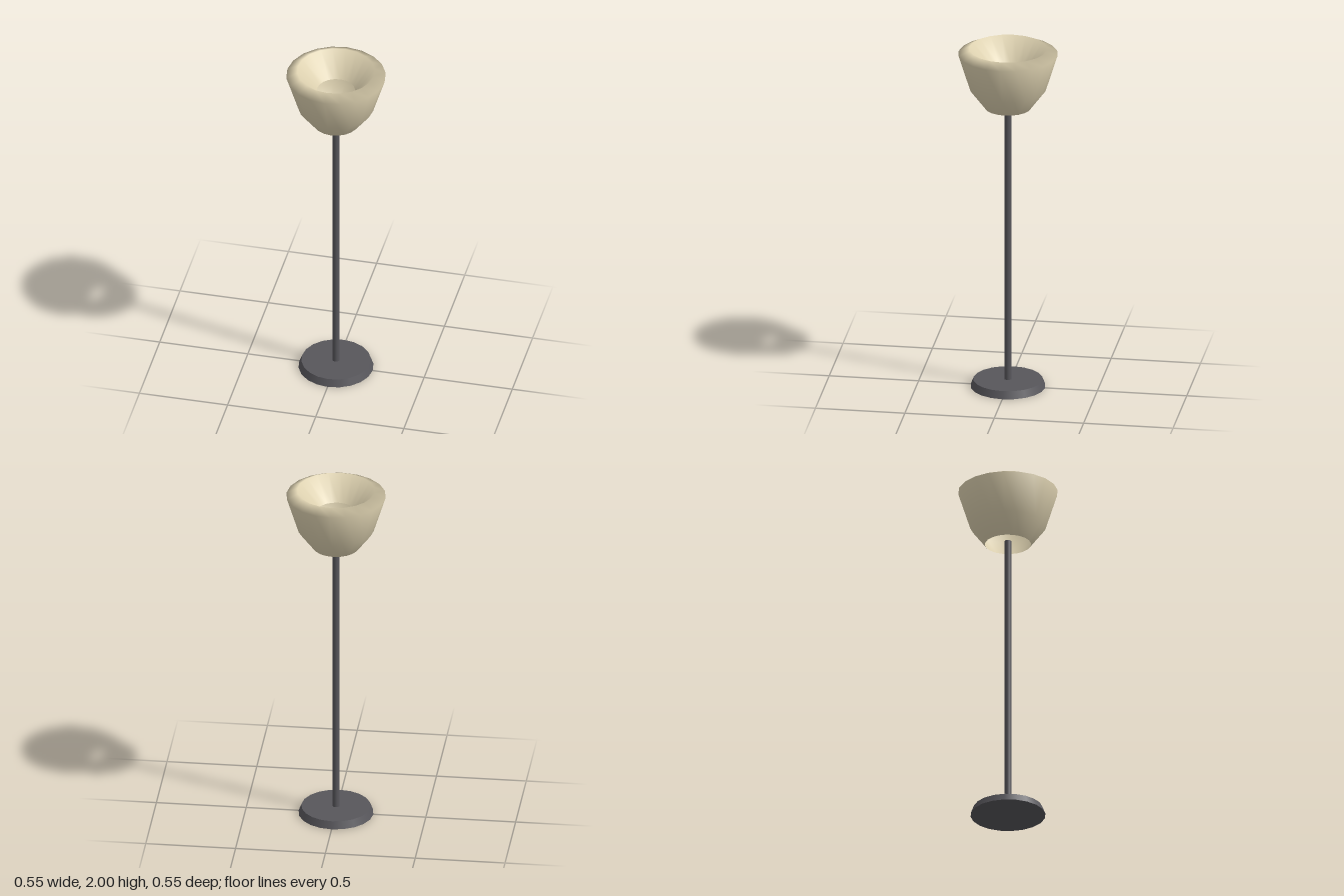
import * as THREE from 'three';

const SIDES = 20;

export function createModel() {
  const lamp = new THREE.Group();
  lamp.name = 'floorLamp';

  const metal = new THREE.MeshStandardMaterial({ color: 0x57565b });
  metal.name = 'dark grey metal';
  const cream = new THREE.MeshStandardMaterial({ color: 0xdbcfae, side: THREE.DoubleSide });
  cream.name = 'cream shade';

  const add = (name, geometry, material, y = 0) => {
    const mesh = new THREE.Mesh(geometry, material);
    mesh.name = name;
    mesh.position.y = y;
    lamp.add(mesh);
  };

  // Tapered foot disc
  add('base', new THREE.CylinderGeometry(0.192, 0.208, 0.042, SIDES), metal, 0.021);

  // Slim pole, ending just inside the shade's lower opening
  const poleBottom = 0.03, poleTop = 1.67;
  add('pole', new THREE.CylinderGeometry(0.02, 0.02, poleTop - poleBottom, SIDES),
    metal, (poleTop + poleBottom) / 2);

  // Shade: up the outer wall, over the rim, then down the inner funnel to its open throat
  const profile = [
    [0.128, 1.652], [0.21, 1.76], [0.276, 1.97], [0.215, 2.0], [0.106, 1.87],
  ].map(([r, y]) => new THREE.Vector2(r, y));
  add('shade', new THREE.LatheGeometry(profile, SIDES), cream);

  return lamp;
}
